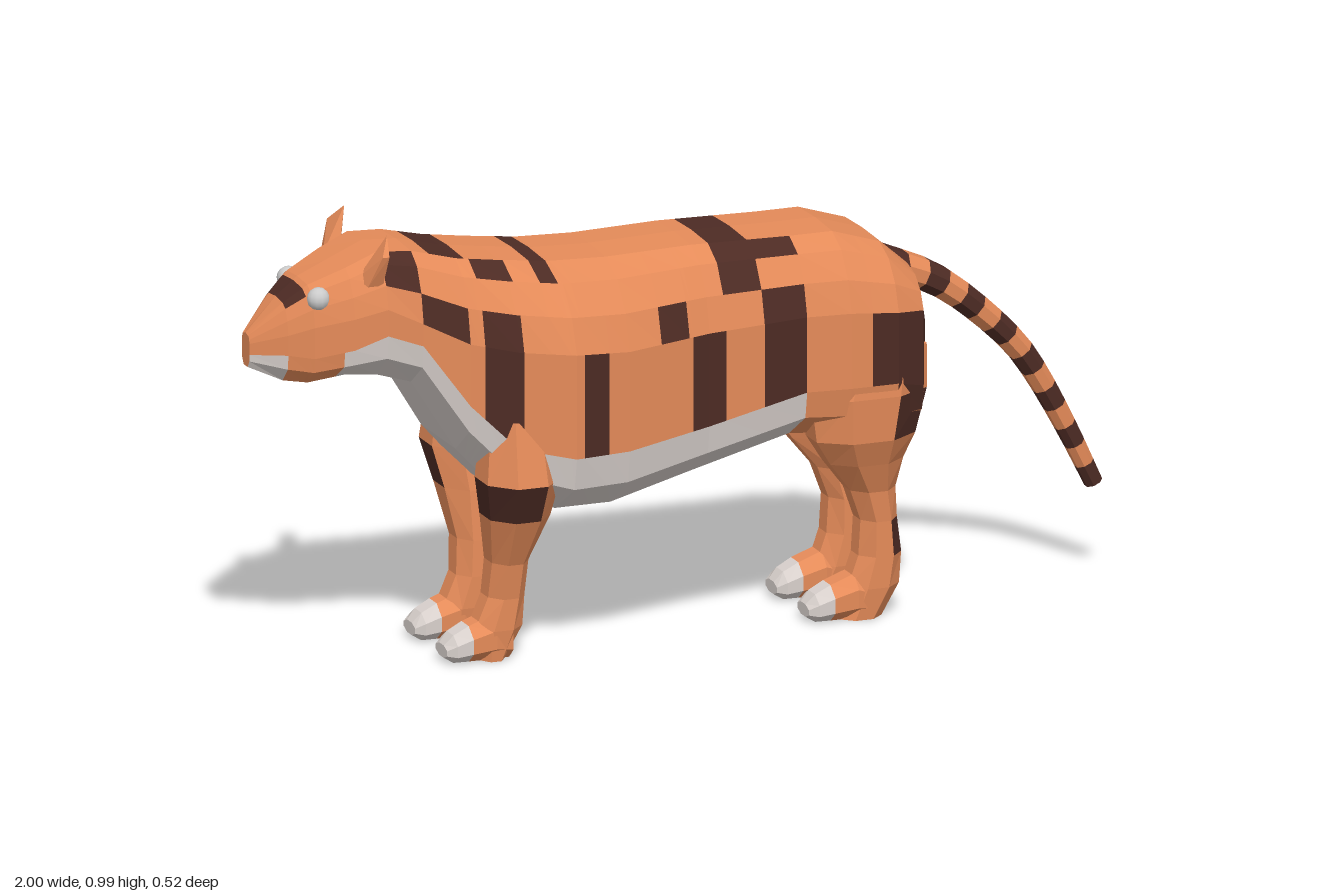
import * as THREE from 'three';
import { ConvexGeometry } from 'three/addons/geometries/ConvexGeometry.js';

const flat = (color) => new THREE.MeshStandardMaterial({ color, flatShading: true });
const MATS = {
  orange: flat(0xe58b59),
  dark: flat(0x4d2b24),
  light: flat(0xd8d0cc),
};
const V = (x, y, z) => new THREE.Vector3(x, y, z);
const mix = THREE.MathUtils.lerp;

// Skins a list of closed rings; colorOf(segment, side, centre) picks each facet's colour.
function loft(name, rings, colorOf) {
  const faces = [];
  const n = rings[0].length;
  const add = (i, j, ...pts) => {
    const centre = pts.reduce((s, p) => s.add(p), V(0, 0, 0)).divideScalar(pts.length);
    const color = colorOf(i, j, centre);
    for (let k = 2; k < pts.length; k++) faces.push({ color, tri: [pts[0], pts[k - 1], pts[k]] });
  };
  for (let i = 0; i < rings.length - 1; i++) {
    for (let j = 0; j < n; j++) {
      const k = (j + 1) % n;
      add(i, j, rings[i][j], rings[i][k], rings[i + 1][k], rings[i + 1][j]);
    }
  }
  add(0, -1, ...[...rings[0]].reverse());
  add(rings.length - 2, -1, ...rings[rings.length - 1]);

  // Turn every face outwards using the signed volume
  const origin = rings[0][0];
  const rel = (p) => p.clone().sub(origin);
  const volume = faces.reduce((s, { tri: [a, b, c] }) => s + rel(a).dot(rel(b).cross(rel(c))), 0);
  const group = new THREE.Group();
  group.name = name;
  for (const color of Object.keys(MATS)) {
    const pts = faces.filter((f) => f.color === color)
      .flatMap(({ tri: [a, b, c] }) => (volume > 0 ? [a, b, c] : [a, c, b]));
    if (!pts.length) continue;
    const geo = new THREE.BufferGeometry().setFromPoints(pts);
    geo.computeVertexNormals();
    const mesh = new THREE.Mesh(geo, MATS[color]);
    mesh.name = `${name} ${color}`;
    group.add(mesh);
  }
  return group;
}

// Octagon filling the box u0..u1 by v0..v1
function octagon(u0, u1, v0, v1, place) {
  return Array.from({ length: 8 }, (_, k) => {
    const a = (k + 0.5) * Math.PI / 4, r = 0.5 / Math.cos(Math.PI / 8);
    return place((u0 + u1) / 2 + (u1 - u0) * r * Math.cos(a), (v0 + v1) / 2 + (v1 - v0) * r * Math.sin(a));
  });
}

// Body and head: x, top, top half width, half width, shoulder y, belly line y, bottom, bottom half width
const BODY = [
  [-1.0, 0.765, 0.012, 0.022, 0.745, 0.72, 0.69, 0.012],
  [-0.93, 0.84, 0.04, 0.075, 0.77, 0.725, 0.66, 0.04],
  [-0.88, 0.88, 0.06, 0.105, 0.79, 0.72, 0.655, 0.06],
  [-0.8, 0.915, 0.08, 0.14, 0.81, 0.74, 0.67, 0.08],
  [-0.73, 0.945, 0.085, 0.16, 0.83, 0.77, 0.665, 0.09],
  [-0.65, 0.94, 0.09, 0.165, 0.79, 0.74, 0.64, 0.09],
  [-0.55, 0.915, 0.1, 0.19, 0.74, 0.6, 0.48, 0.1],
  [-0.45, 0.9, 0.1, 0.225, 0.72, 0.5, 0.37, 0.12],
  [-0.33, 0.885, 0.1, 0.26, 0.71, 0.475, 0.33, 0.13],
  [-0.2, 0.88, 0.1, 0.245, 0.7, 0.475, 0.33, 0.13],
  [0, 0.885, 0.1, 0.21, 0.71, 0.5, 0.375, 0.11],
  [0.23, 0.88, 0.1, 0.205, 0.72, 0.55, 0.43, 0.1],
  [0.33, 0.88, 0.1, 0.215, 0.72, 0.55, 0.42, 0.1],
  [0.44, 0.845, 0.1, 0.215, 0.71, 0.55, 0.4, 0.1],
  [0.51, 0.785, 0.09, 0.185, 0.7, 0.53, 0.42, 0.09],
  [0.535, 0.7, 0.06, 0.13, 0.66, 0.55, 0.46, 0.06],
];

// Stripes: x from, x to, first row, last row (rows count from the spine down)
const STRIPES = [
  [-0.93, -0.89, 0, 1], [-0.73, -0.65, 1, 2], [-0.65, -0.55, 3, 3], [-0.61, -0.53, 0, 0],
  [-0.52, -0.44, 1, 1], [-0.52, -0.44, 3, 4], [-0.38, -0.34, 0, 1], [-0.31, -0.25, 4, 4],
  [-0.12, -0.05, 3, 3], [-0.04, 0.04, 4, 4], [0.04, 0.13, 0, 2], [0.13, 0.23, 1, 1],
  [0.13, 0.23, 3, 4], [0.38, 0.535, 4, 4], [0.44, 0.51, 5, 5],
];

function bodyRing(x) {
  let i = 0;
  while (i < BODY.length - 2 && x > BODY[i + 1][0]) i++;
  const [a, b] = [BODY[i], BODY[i + 1]];
  const f = (x - a[0]) / (b[0] - a[0]);
  const [, top, t, w, s, m, bot, bw] = a.map((v, k) => mix(v, b[k], f));
  const half = [
    [0, top], [t, top - 0.004], [mix(t, w, 0.48), mix(top, s, 0.2)], [mix(t, w, 0.82), mix(top, s, 0.56)],
    [w, s], [w, m], [mix(bw, w, 0.9), mix(m, bot, 0.5)], [bw, bot], [0, bot],
  ];
  const mirrored = half.slice(1, -1).reverse().map(([z, y]) => [-z, y]);
  return [...half, ...mirrored].map(([z, y]) => V(x, y, z));
}

function makeBody() {
  const cuts = [...BODY.map((k) => k[0]), ...STRIPES.flatMap((s) => s.slice(0, 2)), -0.82];
  const xs = [...new Set(cuts)].sort((a, b) => a - b);
  return loft('body', xs.map(bodyRing), (i, j, c) => {
    if (j < 0) return 'orange';
    const row = j < 8 ? j : 15 - j;
    if (STRIPES.some(([x0, x1, r0, r1]) => c.x > x0 && c.x < x1 && row >= r0 && row <= r1)) return 'dark';
    const pale = c.x < -0.93 || (c.x > -0.82 && c.x < 0.23);
    return row >= 5 && pale ? 'light' : 'orange';
  });
}

// Leg rings: y, back-and-forth x0..x1, inner and outer z
const FRONT_LEG = [
  [0.56, -0.5, -0.36, 0.08, 0.225], [0.42, -0.515, -0.345, 0.07, 0.257], [0.33, -0.495, -0.355, 0.055, 0.215],
  [0.22, -0.475, -0.39, 0.045, 0.16], [0.14, -0.48, -0.395, 0.04, 0.147], [0.07, -0.51, -0.4, 0.04, 0.147],
  [0, -0.5, -0.44, 0.05, 0.14],
];
const HIND_LEG = [
  [0.62, 0.3, 0.525, 0.07, 0.205], [0.52, 0.255, 0.525, 0.05, 0.214], [0.42, 0.27, 0.5, 0.05, 0.207],
  [0.36, 0.31, 0.48, 0.045, 0.18], [0.29, 0.365, 0.47, 0.042, 0.152], [0.22, 0.39, 0.475, 0.04, 0.147],
  [0.14, 0.385, 0.485, 0.04, 0.147], [0.07, 0.36, 0.48, 0.04, 0.147], [0, 0.34, 0.44, 0.05, 0.14],
];
// Paw rings: x behind the toes, bottom, top, inner and outer z
const PAW = [
  [0, 0.012, 0.04, 0.06, 0.127], [0.02, 0, 0.062, 0.046, 0.141], [0.055, 0, 0.08, 0.042, 0.146],
  [0.11, 0, 0.1, 0.042, 0.146], [0.15, 0, 0.08, 0.05, 0.14],
];

function makeLeg(name, rows, toeX, side, isDark) {
  const leg = new THREE.Group();
  leg.name = name;
  const rings = rows.map(([y, x0, x1, z0, z1]) => octagon(x0, x1, z0, z1, (x, z) => V(x, y, side * z)));
  const paw = PAW.map(([dx, y0, y1, z0, z1]) =>
    octagon(y0, y1, z0, z1, (y, z) => V(toeX + dx, y, side * z)));
  leg.add(loft('limb', rings, (i, j, c) => (isDark(i, c.x, c.z * side) ? 'dark' : 'orange')));
  leg.add(loft('paw', paw, (i) => (i < 2 ? 'light' : 'orange')));
  return leg;
}

// Tapered tail with dark bands
function makeTail() {
  const path = new THREE.CatmullRomCurve3([
    V(0.48, 0.765, 0), V(0.6, 0.715, 0), V(0.7, 0.64, 0), V(0.8, 0.54, 0),
    V(0.85, 0.465, 0), V(0.92, 0.335, 0), V(0.98, 0.21, 0),
  ]);
  const rings = Array.from({ length: 16 }, (_, i) => {
    const u = i / 15, p = path.getPointAt(u), d = path.getTangentAt(u);
    const up = V(-d.y, d.x, 0), w = mix(0.062, 0.022, Math.sqrt(u)), h = mix(0.036, 0.019, u);
    return octagon(-h, h, -w, w, (a, b) => p.clone().addScaledVector(up, a).add(V(0, 0, b)));
  });
  return loft('tail', rings, (i) => (i % 2 ? 'orange' : 'dark'));
}

// Small upright ear
function makeEar(side) {
  const pts = [
    [-0.78, 0.89, 0.1], [-0.74, 0.89, 0.1], [-0.77, 0.88, 0.14], [-0.735, 0.88, 0.14],
    [-0.745, 0.95, 0.163], [-0.73, 0.95, 0.165], [-0.72, 0.988, 0.125], [-0.735, 0.93, 0.105],
  ];
  return new THREE.Mesh(new ConvexGeometry(pts.map(([x, y, z]) => V(x, y, z * side))), MATS.orange);
}

export function createModel() {
  const model = new THREE.Group();
  model.name = 'stripedCat';
  model.add(makeBody(), makeTail());
  const eyeMat = new THREE.MeshStandardMaterial({ color: 0xcccccc });
  for (const [label, side] of [['left', -1], ['right', 1]]) {
    model.add(makeLeg(`${label} front leg`, FRONT_LEG, -0.58, side,
      (i, x, z) => i === 1 && x < -0.4 && z > 0.13));
    model.add(makeLeg(`${label} hind leg`, HIND_LEG, 0.265, side,
      (i, x, z) => (i === 1 && x > 0.4 && z > 0.1) || (i === 5 && x > 0.45 && z > 0.1)));
    const ear = makeEar(side);
    ear.name = `${label} ear`;
    const eye = new THREE.Mesh(new THREE.SphereGeometry(0.026, 12, 8), eyeMat);
    eye.name = `${label} eye`;
    eye.position.set(-0.865, 0.85, side * 0.088);
    model.add(ear, eye);
  }
  return model;
}
